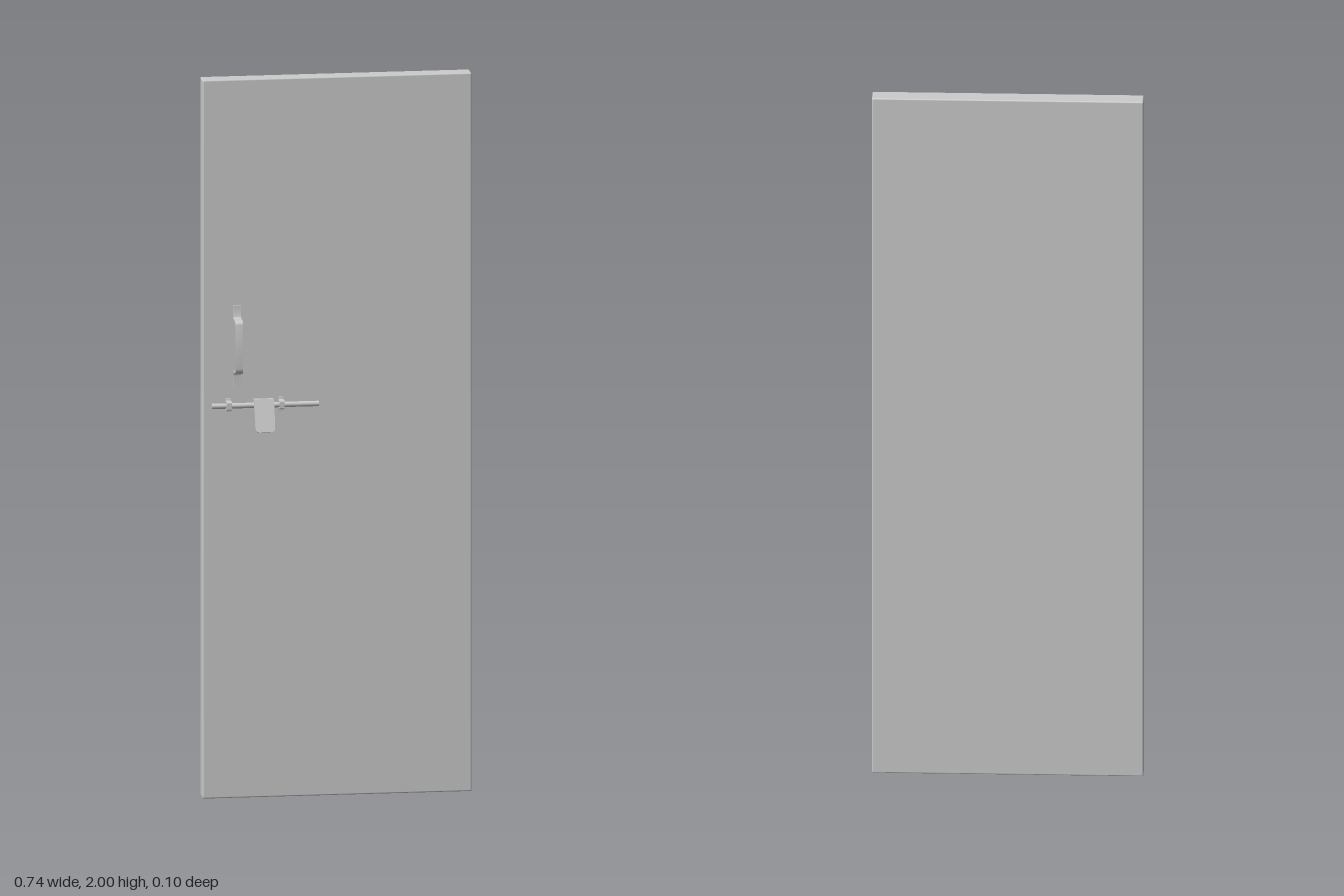
import * as THREE from 'three';
import { RoundedBoxGeometry } from 'three/addons/geometries/RoundedBoxGeometry.js';
import { toCreasedNormals } from 'three/addons/utils/BufferGeometryUtils.js';

const material = new THREE.MeshStandardMaterial({ color: 0xcccccc });

function add(parent, name, geometry, x = 0, y = 0, z = 0) {
  const mesh = new THREE.Mesh(geometry, material);
  mesh.name = name;
  mesh.position.set(x, y, z);
  parent.add(mesh);
  return mesh;
}

// Bent metal strip: follows [z, y] points with rounded corners, extruded along x
function strip(points, radius, thickness, width) {
  const p = points.map(([z, y]) => new THREE.Vector2(z, y));
  const line = [p[0]];
  for (let i = 1; i < p.length - 1; i++) {
    const a = p[i].clone().add(p[i - 1].clone().sub(p[i]).setLength(radius));
    const b = p[i].clone().add(p[i + 1].clone().sub(p[i]).setLength(radius));
    line.push(...new THREE.QuadraticBezierCurve(a, p[i], b).getPoints(5));
  }
  line.push(p[p.length - 1]);
  const side = (s) => line.map((q, i) => {
    const t = line[Math.min(i + 1, line.length - 1)].clone().sub(line[Math.max(i - 1, 0)]).normalize();
    return new THREE.Vector2(q.x - t.y * s, q.y + t.x * s);
  });
  const shape = new THREE.Shape([...side(thickness / 2), ...side(-thickness / 2).reverse()]);
  const g = new THREE.ExtrudeGeometry(shape, { depth: width, bevelEnabled: false });
  g.translate(0, 0, -width / 2).rotateY(-Math.PI / 2);
  return toCreasedNormals(g, 0.6);
}

export function createModel() {
  const model = new THREE.Group();
  model.name = 'door';

  // Door leaf with slightly softened edges
  add(model, 'doorPanel', new RoundedBoxGeometry(0.74, 2, 0.05, 2, 0.004), 0, 1, -0.0275);

  // Pull handle with flat mounting tabs
  add(model, 'pullHandle', strip([
    [-0.001, 1.145], [-0.001, 1.19], [0.043, 1.19],
    [0.043, 1.334], [-0.001, 1.334], [-0.001, 1.372],
  ], 0.014, 0.005, 0.021), -0.276, 0, 0);

  // Sliding bolt
  const bolt = new THREE.Group();
  bolt.name = 'slidingBolt';
  bolt.position.y = 1.095;
  model.add(bolt);
  const rod = new THREE.CylinderGeometry(0.0075, 0.0075, 0.294, 16).rotateZ(Math.PI / 2);
  add(bolt, 'boltRod', rod, -0.2, 0, 0.012);

  // Bent guides that hold the rod
  const guide = strip([
    [-0.001, -0.019], [-0.001, -0.01], [0.021, -0.01],
    [0.021, 0.01], [-0.001, 0.01], [-0.001, 0.019],
  ], 0.004, 0.004, 0.014);
  for (const x of [-0.3, -0.155]) add(bolt, 'boltGuide', guide, x, 0, 0);

  // Thumb plate: small block on the rod and a tilted tab with rounded lower corners
  add(bolt, 'thumbBlock', new THREE.BoxGeometry(0.054, 0.026, 0.021), -0.2045, 0.003, 0.0115);
  const w = 0.027, h = 0.092, r = 0.012;
  const tab = new THREE.Shape();
  tab.moveTo(-w, 0);
  tab.lineTo(-w, -h + r);
  tab.quadraticCurveTo(-w, -h, -w + r, -h);
  tab.lineTo(w - r, -h);
  tab.quadraticCurveTo(w, -h, w, -h + r);
  tab.lineTo(w, 0);
  const tabGeometry = new THREE.ExtrudeGeometry(tab, { depth: 0.007, bevelEnabled: false, curveSegments: 6 });
  const plate = add(bolt, 'thumbPlate', toCreasedNormals(tabGeometry, 0.6), -0.2045, 0.016, 0.0155);
  plate.rotation.x = -0.33;

  return model;
}
